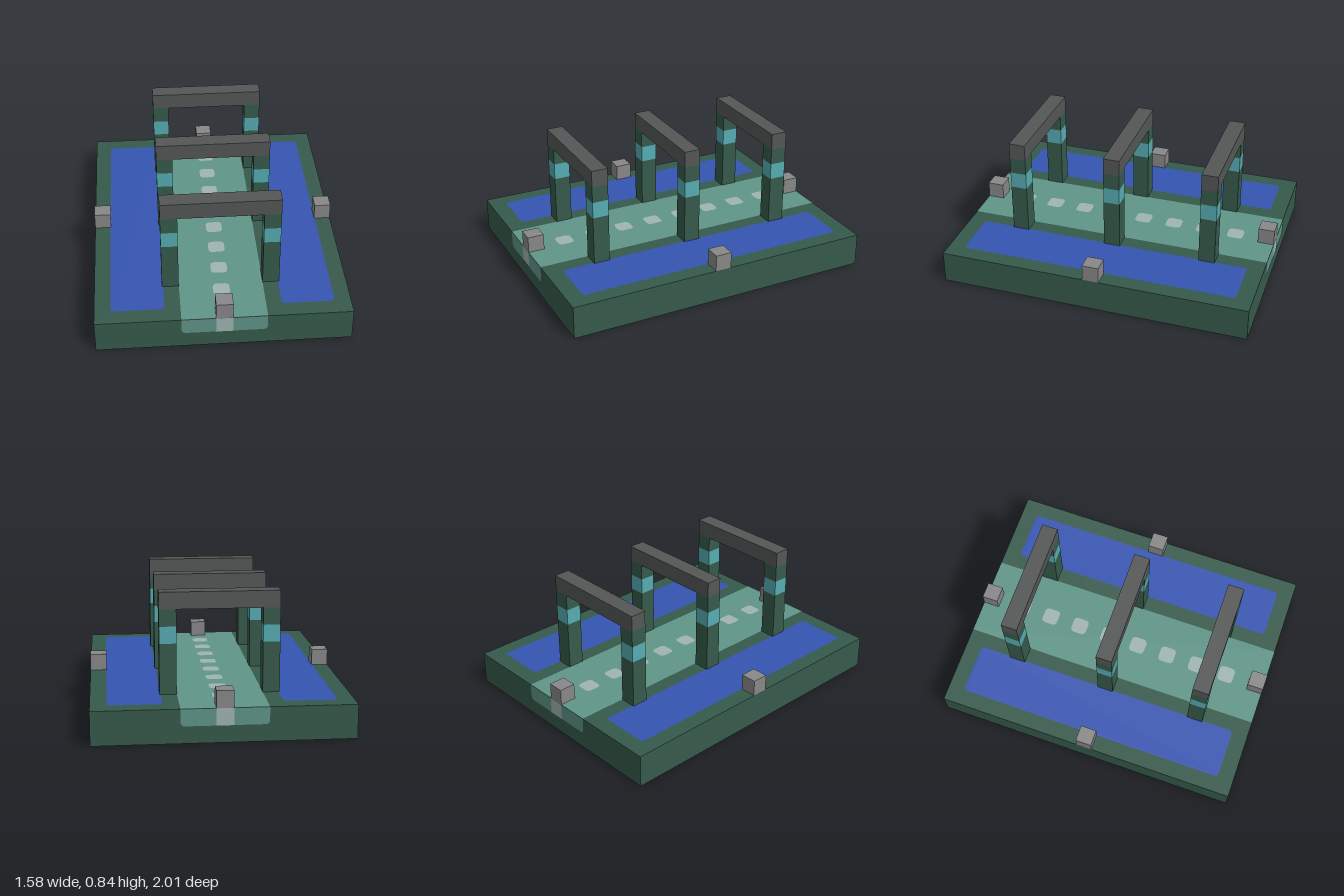
import * as THREE from 'three';

const U = 2 / 19; // one grid cell

export function createModel() {
  const model = new THREE.Group();
  const mat = (name, color) => {
    const m = new THREE.MeshStandardMaterial({ color });
    m.name = name;
    return m;
  };
  const green = mat('dark green', 0x365a4b);
  const path = mat('pale green', 0x5f9587);
  const pale = mat('pale grey green', 0xa0b5b0);
  const blue = mat('blue', 0x3655b2);
  const teal = mat('teal', 0x56adb3);
  const dark = mat('dark grey', 0x545756);
  const grey = mat('grey', 0x888888);

  const add = (name, geometry, material, parent = model) => {
    const mesh = new THREE.Mesh(geometry, material);
    mesh.name = name;
    parent.add(mesh);
    return mesh;
  };
  // Box standing on y, all sizes in cells
  const box = (name, w, h, d, x, y, z, material, parent) => {
    const mesh = add(name, new THREE.BoxGeometry(w * U, h * U, d * U), material, parent);
    mesh.position.set(x * U, (y + h / 2) * U, z * U);
    return mesh;
  };
  // Thin panel with rounded corners; the top corners can be left square
  const panel = (name, w, h, r, material, squareTop = false) => {
    const a = w / 2 * U, b = h / 2 * U, q = r * U, t = squareTop ? 0 : q;
    const s = new THREE.Shape();
    s.moveTo(-a + q, -b);
    s.lineTo(a - q, -b);
    s.quadraticCurveTo(a, -b, a, -b + q);
    s.lineTo(a, b - t);
    if (t) s.quadraticCurveTo(a, b, a - t, b);
    s.lineTo(-a + t, b);
    if (t) s.quadraticCurveTo(-a, b, -a, b - t);
    s.lineTo(-a, -b + q);
    if (q) s.quadraticCurveTo(-a, -b, -a + q, -b);
    return add(name, new THREE.ShapeGeometry(s, 4), material);
  };
  const layFlat = (mesh, x, z, lift) => {
    mesh.rotation.x = -Math.PI / 2;
    mesh.position.set(x * U, 2 * U + lift, z * U);
  };

  box('base', 15, 2, 19, 0, 0, 0, green);

  // Central path and stepping spots
  layFlat(panel('path', 5, 19, 0, path), 0, 0, 0.002);
  for (let z = -7; z <= 7; z += 2) layFlat(panel('pathSpot', 1, 1, 0.28, pale), 0, z, 0.004);

  // Path ends folded over the front and back of the base
  for (const s of [1, -1]) {
    const parts = [panel('pathEnd', 5, 1, 0.28, path, true), panel('pathEndStripe', 1, 1, 0, pale, true)];
    parts.forEach((p, i) => {
      p.position.set(0, 1.5 * U, s * (9.5 * U + 0.0015 * (i + 1)));
      if (s < 0) p.rotation.y = Math.PI;
    });
  }

  // Side pools and edge blocks
  for (const s of [-1, 1]) {
    layFlat(panel('pool', 3.1, 17, 0.25, blue), s * 4.98, 0, 0.002);
    box('sideBlock', 1, 1, 1, s * 7, 2, 0, grey);
    box('endBlock', 1, 1, 1, 0, 2, s * 9, grey);
  }

  // Three gates with banded posts
  for (const z of [-6, 0, 6]) {
    const gate = new THREE.Group();
    gate.name = 'gate';
    model.add(gate);
    for (const s of [-1, 1]) {
      box('postLower', 1, 3, 1, s * 3, 2, z, green, gate);
      box('postBand', 1, 1, 1, s * 3, 5, z, teal, gate);
      box('postUpper', 1, 1, 1, s * 3, 6, z, green, gate);
    }
    box('crossbeam', 7, 1, 1, 0, 7, z, dark, gate);
  }
  return model;
}
